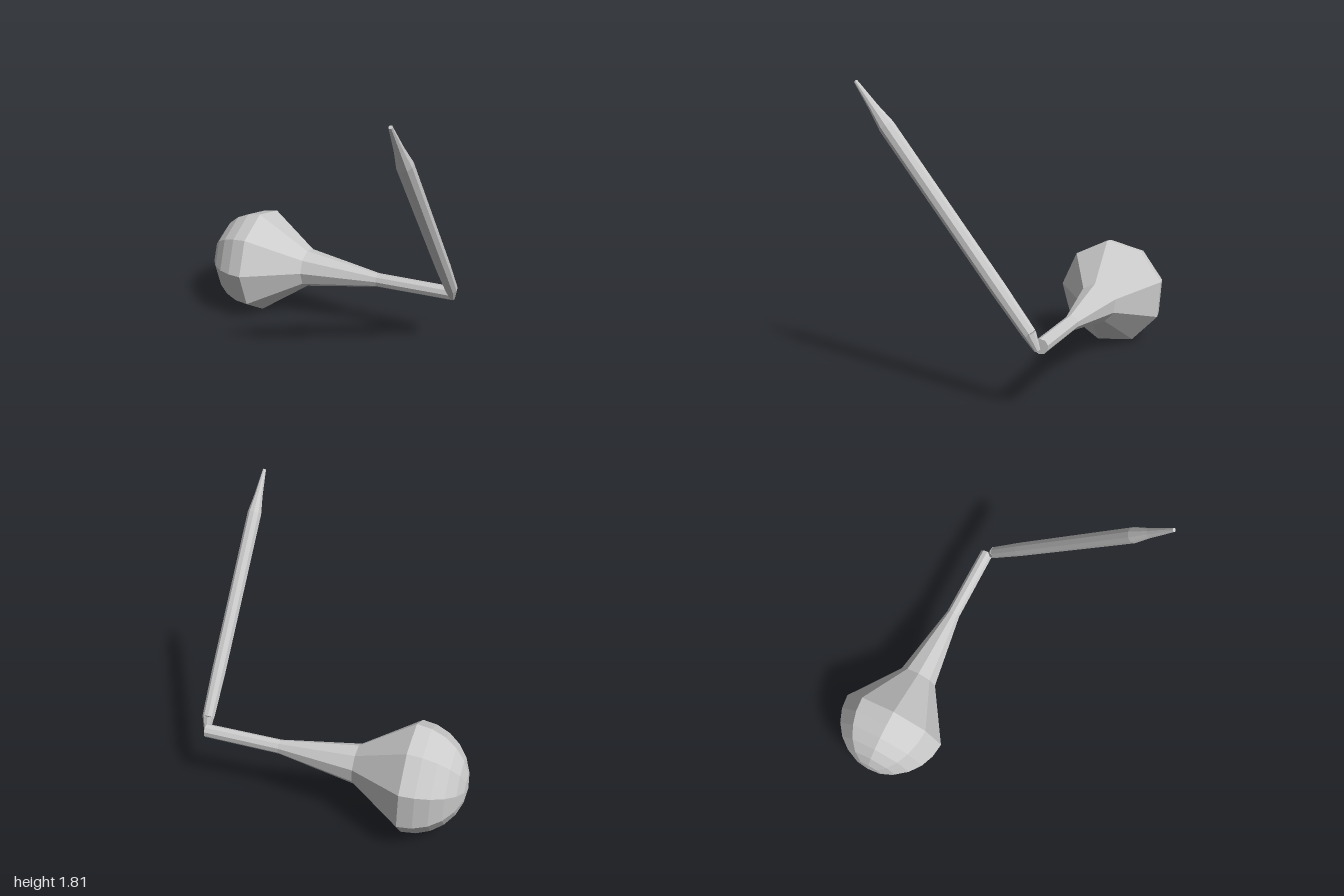
import * as THREE from 'three';

const material = new THREE.MeshStandardMaterial({ color: 0xcccccc, flatShading: true });
const SIDES = 9;

// Faceted turned part: profile of [radius, distance] laid along the line from start to end,
// with one row of corners facing the "up" direction.
function turned(name, profile, start, end, up) {
  const points = profile.map(([r, t]) => new THREE.Vector2(r, t));
  const geometry = new THREE.LatheGeometry(points, SIDES);
  const y = end.clone().sub(start).normalize();
  const x = new THREE.Vector3().crossVectors(y, up).normalize();
  const z = new THREE.Vector3().crossVectors(x, y);
  geometry.applyMatrix4(new THREE.Matrix4().makeBasis(x, y, z).setPosition(start));
  const mesh = new THREE.Mesh(geometry, material);
  mesh.name = name;
  return mesh;
}

export function createModel() {
  const model = new THREE.Group();
  model.name = 'bulbWithArm';

  // Bulb: thin neck, flared cone and a rounded dome
  const neckEnd = new THREE.Vector3(0.505, 0.402, 0.625);
  const bulbCentre = new THREE.Vector3(0.036, 0.352, -0.65);
  const rimAt = neckEnd.distanceTo(bulbCentre);
  const R = 0.356;
  const bulbProfile = [[0, 0], [0.044, 0], [0.046, 0.51], [0.129, 1.02]];
  for (let i = 0; i <= 6; i++) {
    const a = (i / 6) * Math.PI / 2;
    bulbProfile.push([i === 6 ? 0 : R * Math.cos(a), rimAt + R * Math.sin(a)]);
  }
  model.add(turned('bulb', bulbProfile, neckEnd, bulbCentre, new THREE.Vector3(-0.098, 0.994, 0.036)));

  // Arm: straight rod narrowing to a thin tip
  const armBase = new THREE.Vector3(0.45, 0.47, 0.655);
  const armTip = new THREE.Vector3(-0.543, 1.812, 0.99);
  const length = armBase.distanceTo(armTip);
  const armProfile = [
    [0, -0.005], [0.04, 0], [0.046, 0.3], [0.047, 1.39],
    [0.028, 1.52], [0.011, length], [0, length],
  ];
  model.add(turned('arm', armProfile, armBase, armTip, new THREE.Vector3(0, 0, 1)));

  // Joint: short taper linking the arm to the neck end
  const jointEnd = new THREE.Vector3(0.492, 0.38, 0.637);
  const jointLength = armBase.distanceTo(jointEnd);
  const jointProfile = [[0, 0], [0.04, 0], [0.018, jointLength], [0, jointLength]];
  model.add(turned('joint', jointProfile, armBase, jointEnd, new THREE.Vector3(0, 0, 1)));

  return model;
}
